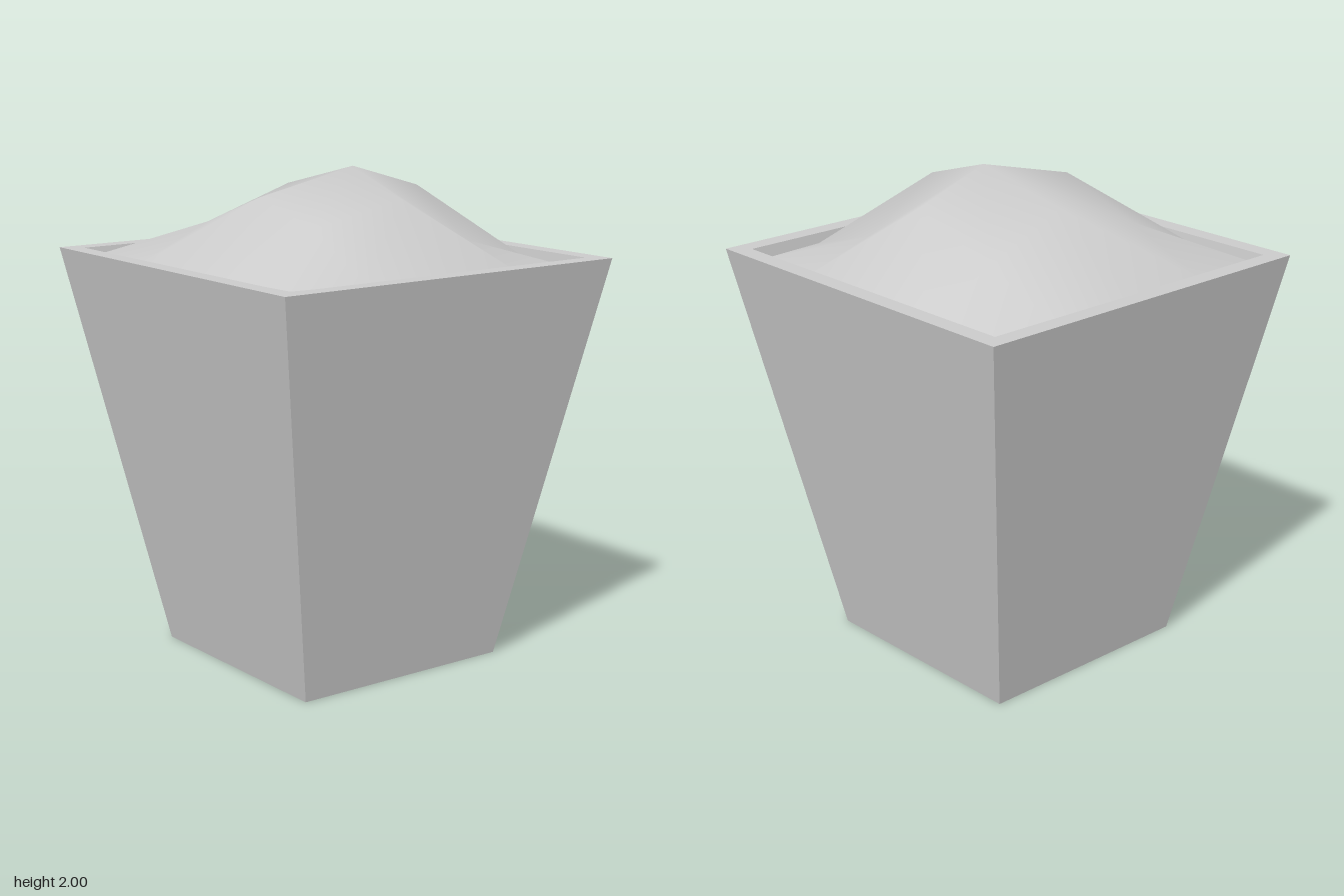
import * as THREE from 'three';

const grey = (options = {}) => new THREE.MeshStandardMaterial({ color: 0xcccccc, ...options });

// Square tapered pot: a four-sided lathe whose profile gives half-widths
function createPot() {
  const profile = [[0, 0], [0.48, 0], [0.79, 1.65], [0.716, 1.65], [0.68, 1.46], [0, 1.46]];
  const points = profile.map(([half, y]) => new THREE.Vector2(half * Math.SQRT2, y));
  const pot = new THREE.Mesh(
    new THREE.LatheGeometry(points, 4, Math.PI / 4),
    grey({ flatShading: true })
  );
  pot.name = 'pot';
  return pot;
}

// Uneven heap of soil: a coarse 5 x 5 height grid, smoothly shaded
function createSoil() {
  const heights = [ // rows run from back to front
    [1.57, 1.60, 1.63, 1.61, 1.60],
    [1.61, 1.75, 1.90, 1.71, 1.61],
    [1.645, 1.90, 2.00, 1.90, 1.645],
    [1.62, 1.77, 1.90, 1.81, 1.645],
    [1.61, 1.62, 1.64, 1.645, 1.65],
  ];
  const xs = [-0.707, -0.33, 0.04, 0.38, 0.707];
  const zs = [-0.707, -0.39, -0.03, 0.37, 0.707];
  const positions = [];
  const index = [];
  heights.forEach((row, j) => row.forEach((y, i) => {
    let x = xs[i], z = zs[j];
    if (i === 2 && j === 2) { x = 0.08; z = -0.05; } // peak
    if (i === 3 && j === 2) x = 0.41;
    if (i === 2 && j === 1) z = -0.41;
    positions.push(x, y, z);
  }));
  // Each square is split along the diagonal that points at the peak
  for (let j = 0; j < 4; j++) {
    for (let i = 0; i < 4; i++) {
      const a = j * 5 + i, b = a + 5, c = b + 1, d = a + 1;
      if ((i < 2) === (j < 2)) index.push(a, b, c, a, c, d);
      else index.push(a, b, d, b, c, d);
    }
  }
  const geometry = new THREE.BufferGeometry();
  geometry.setAttribute('position', new THREE.Float32BufferAttribute(positions, 3));
  geometry.setIndex(index);
  geometry.computeVertexNormals();
  const soil = new THREE.Mesh(geometry, grey({ side: THREE.DoubleSide }));
  soil.name = 'soil';
  return soil;
}

export function createModel() {
  const model = new THREE.Group();
  model.name = 'planter';
  model.add(createPot(), createSoil());
  return model;
}
